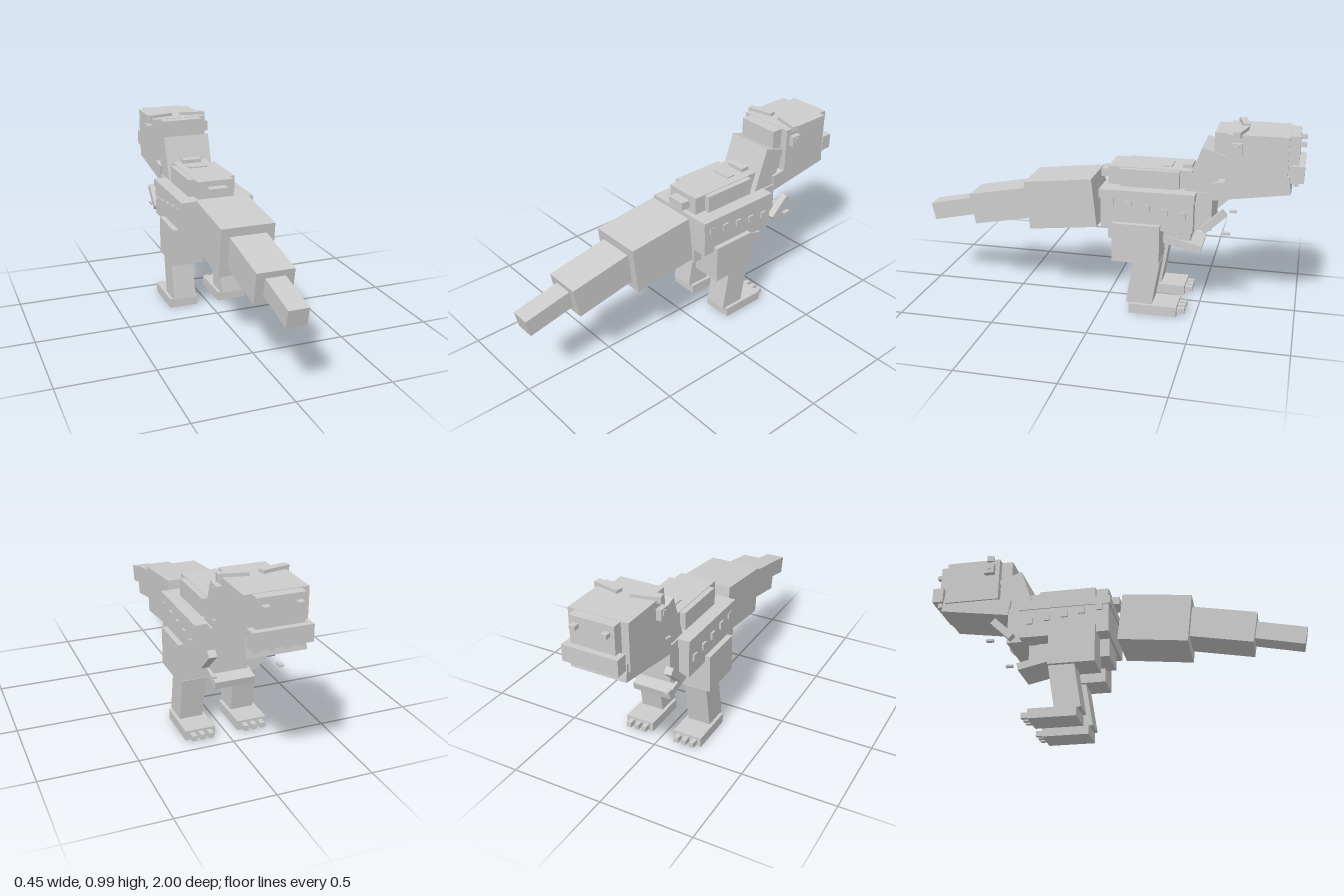
import * as THREE from 'three';

export function createModel() {
  const model = new THREE.Group();
  const grey = new THREE.MeshStandardMaterial({ color: 0xcccccc });
  grey.name = 'light grey';

  // Box from size and centre, pitched about x and turned about y
  function box(name, size, pos, pitch = 0, turn = 0) {
    const mesh = new THREE.Mesh(new THREE.BoxGeometry(...size), grey);
    mesh.name = name;
    mesh.position.set(...pos);
    mesh.rotation.set(pitch, turn, 0);
    model.add(mesh);
  }
  // Box from its limits: half width, y range, z range
  function span(name, halfX, y0, y1, z0, z1) {
    box(name, [halfX * 2, y1 - y0, z1 - z0], [0, (y0 + y1) / 2, (z0 + z1) / 2]);
  }

  // Tail, three shrinking segments that droop backwards
  box('tailBase', [0.285, 0.259, 0.366], [0, 0.54, 0.231], 0.11);
  box('tailMiddle', [0.195, 0.168, 0.336], [0, 0.49, 0.575], 0.185);
  box('tailTip', [0.104, 0.095, 0.256], [0, 0.437, 0.865], 0.21);

  // Torso
  span('body', 0.196, 0.458, 0.64, -0.475, 0.0);
  span('upperBody', 0.202, 0.615, 0.66, -0.48, 0.008);
  span('chest', 0.14, 0.46, 0.658, -0.56, -0.45);
  span('belly', 0.098, 0.36, 0.47, -0.40, -0.015);
  span('bellyFront', 0.09, 0.375, 0.47, -0.45, -0.38);
  box('bellyPlate', [0.21, 0.04, 0.24], [0, 0.362, -0.39], -0.22);

  // Stepped back with small raised plates
  span('backLong', 0.1, 0.65, 0.755, -0.45, -0.02);
  span('backWide', 0.13, 0.65, 0.752, -0.39, -0.085);
  span('backRearKnob', 0.052, 0.682, 0.725, -0.03, 0.03);
  span('backPlateFront', 0.052, 0.75, 0.775, -0.445, -0.395);
  span('backPlateRear', 0.052, 0.75, 0.762, -0.34, -0.29);

  // Neck and head
  box('neck', [0.262, 0.33, 0.132], [0, 0.712, -0.509], -0.33);
  span('head', 0.155, 0.725, 0.968, -0.92, -0.62);
  span('headCore', 0.116, 0.73, 0.966, -0.97, -0.558);
  span('muzzle', 0.145, 0.742, 0.825, -1.0, -0.94);
  box('jaw', [0.29, 0.09, 0.385], [0, 0.697, -0.745], 0.15);
  for (const x of [-0.11, -0.037, 0.037, 0.11]) {
    box('tooth', [0.025, 0.03, 0.022], [x, 0.732, -0.962]);
  }

  for (const s of [-1, 1]) {
    // Face details
    box('nostril', [0.03, 0.022, 0.035], [s * 0.08, 0.923, -0.983]);
    box('eye', [0.03, 0.056, 0.055], [s * 0.168, 0.902, -0.672]);
    box('pupil', [0.008, 0.025, 0.025], [s * 0.184, 0.908, -0.672]);
    box('brow', [0.145, 0.03, 0.037], [s * 0.1, 0.97, -0.685], 0, -s * 0.22);

    // Row of studs, dropping towards the chest
    for (let i = 0; i < 5; i++) {
      box('sideStud', [0.02, 0.036, 0.034], [s * 0.196, 0.598 - i * 0.0125, -0.05 - i * 0.093]);
    }

    // Small arms with claws
    box('arm', [0.04, 0.038, 0.145], [s * 0.172, 0.524, -0.575], 0.76);
    box('claw', [0.022, 0.012, 0.038], [s * 0.172, 0.465, -0.64]);

    // Legs
    box('thigh', [0.165, 0.205, 0.245], [s * 0.142, 0.387, -0.188]);
    box('shin', [0.125, 0.26, 0.135], [s * 0.142, 0.17, -0.225], -0.165);
    box('foot', [0.16, 0.052, 0.25], [s * 0.142, 0.026, -0.28]);
    for (const d of [-0.045, 0, 0.045]) {
      box('toe', [0.026, 0.028, 0.05], [s * 0.142 + d, 0.026, -0.42]);
    }
  }
  return model;
}
